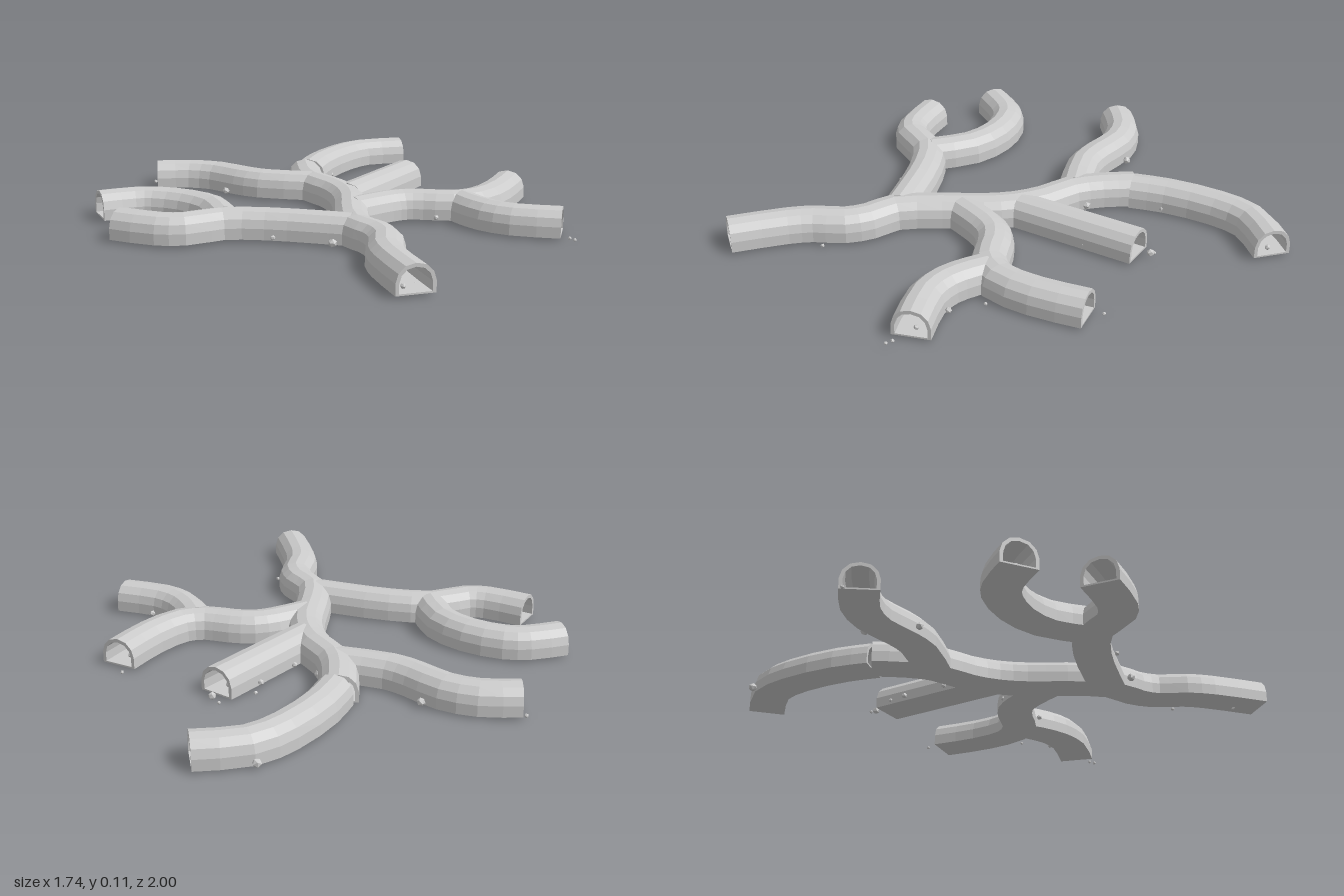
import * as THREE from 'three';

const stone = new THREE.MeshStandardMaterial({ color: 0xcccccc, flatShading: true });
stone.name = 'light stone grey';

const BASE = 0.008;

// Arched cross-section, counter-clockwise, from the half profile [x, y]
const mirrorProfile = half => [...half, ...half.slice(0, -1).reverse().map(([x, y]) => [-x, y])];
const OUTER = mirrorProfile([[0.071, 0], [0.071, 0.042], [0.061, 0.074], [0.036, 0.098], [0, 0.106]]);
const INNER = mirrorProfile([[0.058, 0.006], [0.058, 0.04], [0.05, 0.066], [0.03, 0.086], [0, 0.093]]);

// Sweep the hollow arch along a ground path of [x, z] points
function tunnel(name, path) {
  const curve = new THREE.CatmullRomCurve3(path.map(([x, z]) => new THREE.Vector3(x, BASE, z)), false, 'centripetal');
  const steps = path.length === 2 ? 1 : (path.length - 1) * 2;
  const n = OUTER.length;
  const pos = [];
  const idx = [];
  for (let i = 0; i <= steps; i++) {
    const p = curve.getPoint(i / steps);
    const t = curve.getTangent(i / steps);
    for (const [u, v] of [...OUTER, ...INNER]) pos.push(p.x + t.z * u, p.y + v, p.z - t.x * u);
  }
  const quad = (a, b, c, d) => idx.push(a, b, c, a, c, d);
  const end = steps * 2 * n;
  for (let j = 0; j < n; j++) {
    const k = (j + 1) % n;
    for (let i = 0; i < steps; i++) {
      const a = i * 2 * n;
      const b = a + 2 * n;
      quad(a + j, a + k, b + k, b + j); // outer shell and floor underside
      quad(a + n + k, a + n + j, b + n + j, b + n + k); // inner lining
    }
    quad(j, n + j, n + k, k); // rim at the start
    quad(end + j, end + k, end + n + k, end + n + j); // rim at the end
  }
  const geo = new THREE.BufferGeometry();
  geo.setAttribute('position', new THREE.Float32BufferAttribute(pos, 3));
  geo.setIndex(idx);
  geo.computeVertexNormals();
  const mesh = new THREE.Mesh(geo, stone);
  mesh.name = name;
  return mesh;
}

const TUNNELS = {
  mainTunnel: [[-0.035, 1], [-0.035, 0.78], [-0.02, 0.68], [0.022, 0.57], [0.02, 0.48], [-0.015, 0.37],
    [0.025, 0.19], [0.075, 0.04], [0.095, -0.08], [0.085, -0.2], [0.045, -0.33], [0.05, -0.45], [0.08, -0.58]],
  backRightTunnel: [[0.092, -0.57], [0.17, -0.685], [0.32, -0.833], [0.45, -0.905], [0.635, -0.9]],
  backLeftTunnel: [[0.04, -0.345], [-0.14, -0.45], [-0.21, -0.53], [-0.29, -0.65], [-0.39, -0.72], [-0.53, -0.752]],
  straightTunnel: [[0.11, -0.1], [0.49, -0.43]],
  sideRightTunnel: [[0.06, 0.12], [0.2, 0.07], [0.28, 0.06], [0.36, 0.085], [0.46, 0.135], [0.56, 0.13], [0.69, 0.035], [0.815, -0.11]],
  frontRightTunnel: [[0.495, 0.15], [0.505, 0.22], [0.535, 0.32], [0.6, 0.405], [0.75, 0.497]],
  sideLeftTunnel: [[-0.025, 0.345], [-0.14, 0.27], [-0.3, 0.175], [-0.46, 0.12], [-0.61, 0.148], [-0.69, 0.12], [-0.82, 0.005]],
  curledLeftTunnel: [[-0.445, 0.11], [-0.45, -0.06], [-0.52, -0.19], [-0.63, -0.28], [-0.71, -0.3], [-0.85, -0.287]],
};

// Loose stones: [x, z, radius]
const ROCKS = [
  [0.43, -0.985, 0.017], [-0.195, -0.665, 0.016], [-0.295, -0.485, 0.015], [0.108, -0.37, 0.018],
  [0.51, -0.47, 0.015], [-0.12, 0.405, 0.017], [0.655, 0.34, 0.012], [0.37, 0.193, 0.011],
  [-0.305, 0.272, 0.01], [0.083, 0.67, 0.008], [0.63, 0.2, 0.007], [0.757, 0.585, 0.007],
  [0.75, 0.56, 0.007], [0.807, -0.172, 0.007], [-0.53, -0.81, 0.008], [0.49, -0.495, 0.007],
  [0.352, -0.445, 0.008], [0.325, -0.395, 0.012], [0.18, -0.27, 0.011], [0.22, -0.64, 0.01],
  [0.385, -0.255, 0.01], [0.23, -0.01, 0.009],
  // stones lying inside the tunnel mouths
  [-0.06, 0.95, 0.01], [0, 0.9, 0.008], [0.6, -0.9, 0.011], [0.72, 0.47, 0.01],
  [-0.82, -0.29, 0.01], [0.77, -0.06, 0.009], [0.44, -0.39, 0.012],
];

export function createModel() {
  const model = new THREE.Group();
  model.name = 'tunnelNetwork';
  for (const [name, path] of Object.entries(TUNNELS)) model.add(tunnel(name, path));

  const rocks = new THREE.Group();
  rocks.name = 'looseRocks';
  const rockGeo = new THREE.IcosahedronGeometry(1, 0);
  ROCKS.forEach(([x, z, r], i) => {
    const rock = new THREE.Mesh(rockGeo, stone);
    rock.name = 'rock';
    rock.scale.setScalar(r);
    rock.rotation.set(i * 1.3, i * 2.1, i * 0.7);
    rock.position.set(x, r < 0.009 ? r : 0.024, z);
    rocks.add(rock);
  });
  model.add(rocks);
  return model;
}
